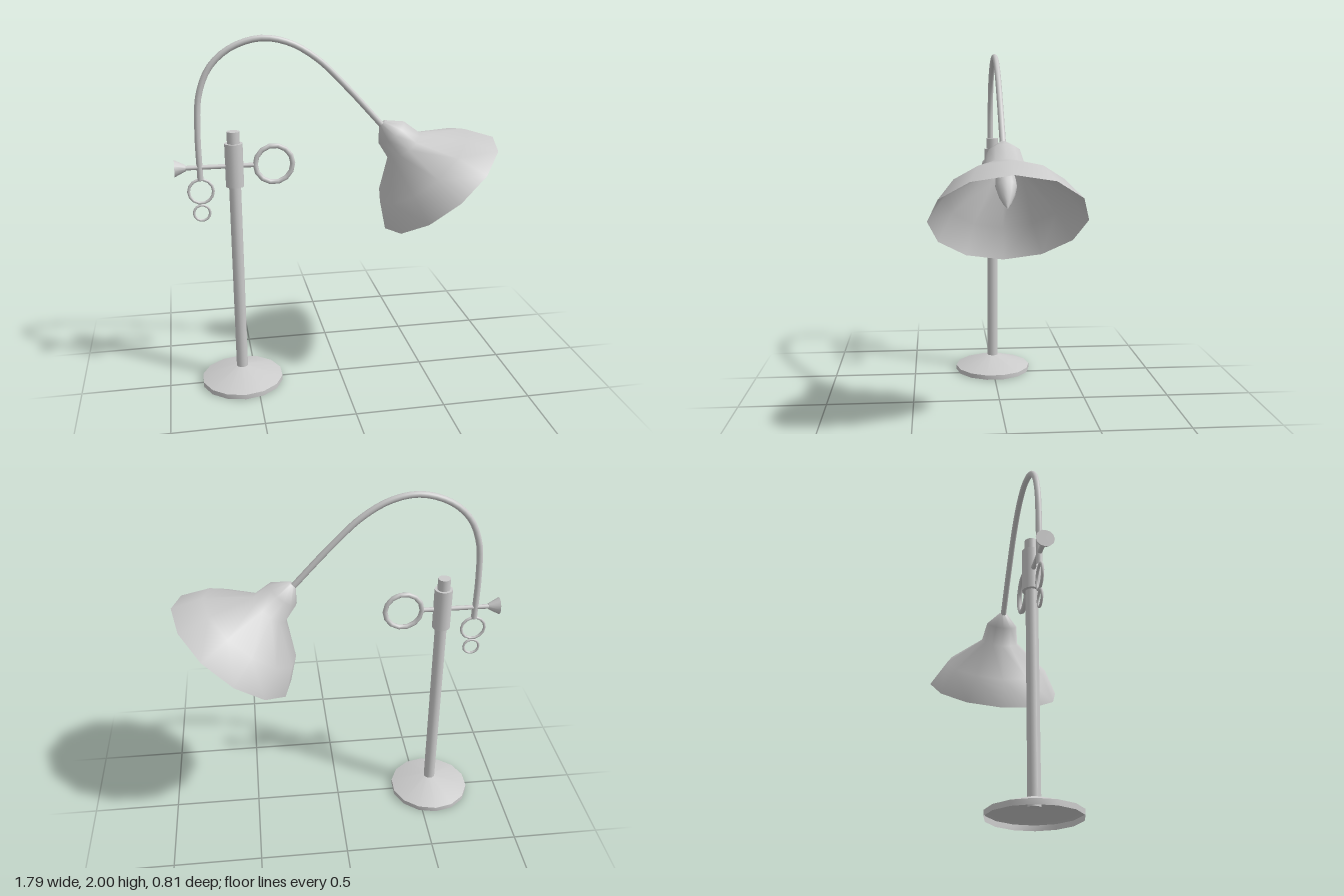
import * as THREE from 'three';
import { toCreasedNormals } from 'three/addons/utils/BufferGeometryUtils.js';

const POST_X = -0.58, BAR_Y = 1.305, ARM_X = -0.765;

export function createModel() {
  const model = new THREE.Group();
  const solid = new THREE.MeshStandardMaterial({ color: 0xcccccc });
  const thin = new THREE.MeshStandardMaterial({ color: 0xcccccc, side: THREE.DoubleSide });

  function add(name, geometry, x = 0, y = 0, material = solid, parent = model) {
    const mesh = new THREE.Mesh(geometry, material);
    mesh.name = name;
    mesh.position.set(x, y, 0);
    parent.add(mesh);
    return mesh;
  }
  // Upright cylinder between two heights
  const column = (name, r, y0, y1) =>
    add(name, new THREE.CylinderGeometry(r, r, y1 - y0, 14), POST_X, (y0 + y1) / 2);
  // Cylinder lying along x, radius r0 at x0 and r1 at x1
  const rod = (name, r0, r1, x0, x1) => {
    const g = new THREE.CylinderGeometry(r1, r0, x1 - x0, 12).rotateZ(-Math.PI / 2);
    return add(name, g, (x0 + x1) / 2, BAR_Y);
  };
  // Upright ring given by its outer radius
  const ring = (name, outer, tube, x, y, sides) =>
    add(name, new THREE.TorusGeometry(outer - tube, tube, 8, sides), x, y);
  const lathe = (points, sides) =>
    new THREE.LatheGeometry(points.map(([r, y]) => new THREE.Vector2(r, y)), sides);

  // Hollow conical foot
  const foot = lathe([[0.235, 0], [0.235, 0.028], [0.035, 0.095], [0, 0.095]], 14);
  add('base', toCreasedNormals(foot, 0.6), POST_X, 0, thin);

  // Post, collar and top stub
  column('post', 0.033, 0.05, 1.2);
  column('collar', 0.05, 1.19, 1.43);
  column('postCap', 0.035, 1.42, 1.495);

  // Crossbar with flared knob and ring handle
  rod('crossbar', 0.013, 0.013, -0.86, -0.475);
  rod('knob', 0.048, 0.017, -0.9, -0.84);
  ring('handleRing', 0.117, 0.014, -0.363, BAR_Y, 14);

  // Small rings hanging below the arm
  ring('upperHangingRing', 0.075, 0.008, ARM_X, 1.17, 14);
  ring('lowerHangingRing', 0.051, 0.007, ARM_X, 1.047, 14);

  // Gooseneck arm
  const path = new THREE.CatmullRomCurve3([
    [ARM_X, 1.235], [-0.767, 1.5], [-0.75, 1.7], [-0.69, 1.84], [-0.58, 1.936],
    [-0.42, 1.984], [-0.27, 1.958], [-0.12, 1.87], [0.04, 1.715], [0.245, 1.49],
  ].map(([x, y]) => new THREE.Vector3(x, y, 0)));
  add('arm', new THREE.TubeGeometry(path, 40, 0.017, 10), 0, 0, thin);

  // Lamp head: local y runs from the rim centre up to the neck
  const head = new THREE.Group();
  head.name = 'lampHead';
  head.position.set(0.58, 1.145, 0);
  head.rotation.z = 0.688;
  model.add(head);

  // The neck leans slightly off the rim axis
  const lean = new THREE.Matrix4().set(1, -0.06, 0, 0, 0, 1, 0, 0, 0, 0, 1, 0, 0, 0, 0, 1);
  const shade = lathe([[0.403, 0], [0.313, 0.15], [0.113, 0.31], [0.092, 0.42],
    [0.022, 0.495], [0, 0.495]], 12);
  add('shade', shade.applyMatrix4(lean), 0, 0, thin, head);

  // Pointed bulb inside the shade
  const bulb = lathe([[0, 0.07], [0.022, 0.105], [0.043, 0.155], [0.056, 0.21],
    [0.052, 0.26], [0.035, 0.3], [0.024, 0.33], [0.024, 0.42]], 12);
  add('bulb', bulb.applyMatrix4(lean), 0, 0, thin, head);

  return model;
}
